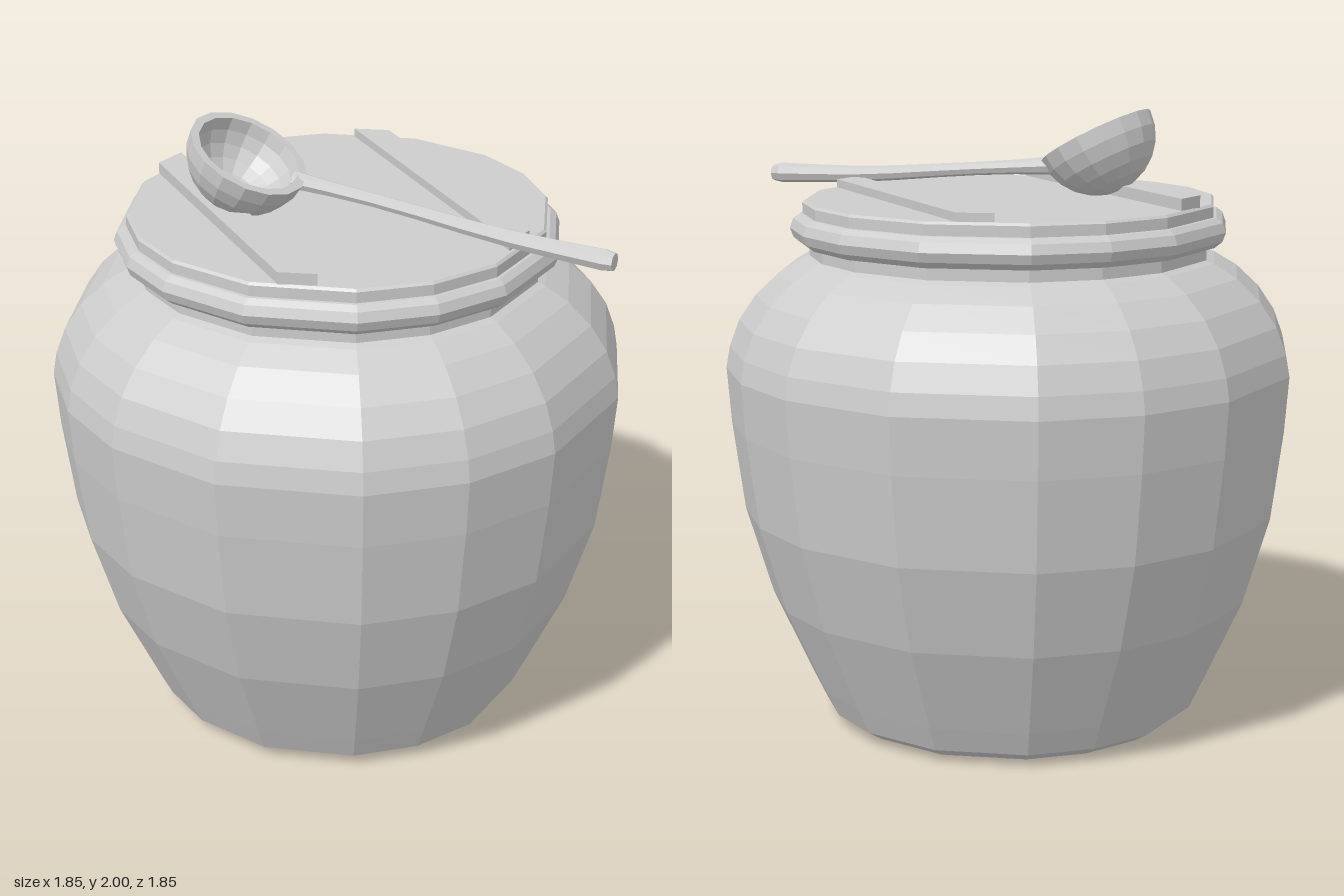
import * as THREE from 'three';

const clay = new THREE.MeshStandardMaterial({ color: 0xcccccc, flatShading: true });
clay.name = 'plain grey clay';

const vec = (pts) => pts.map(([x, y]) => new THREE.Vector2(x, y));

function part(geometry, name) {
  const mesh = new THREE.Mesh(geometry, clay);
  mesh.name = name;
  return mesh;
}

// Sixteen slightly uneven sides, symmetric in each quadrant
const ANGLES = [];
for (let q = 0; q < 4; q++) {
  const steps = q % 2 ? [0, 18, 42.5, 70] : [0, 20, 47.5, 72];
  steps.forEach((a) => ANGLES.push(THREE.MathUtils.degToRad(a + q * 90)));
}
ANGLES.push(Math.PI * 2);

function facetedTurning(profile) {
  const geo = new THREE.LatheGeometry(vec(profile), 16);
  const pos = geo.attributes.position;
  for (let i = 0; i < pos.count; i++) {
    const [r, y] = profile[i % profile.length];
    const a = ANGLES[Math.floor(i / profile.length)];
    pos.setXYZ(i, r * Math.sin(a), y, r * Math.cos(a));
  }
  geo.computeVertexNormals();
  return geo;
}

// Cleat across the lid, its ends cut along the lid edge
function cleat(x0, x1, y0, y1) {
  const zIn = 0.555, zOut = 0.495;
  const shape = new THREE.Shape(vec([[x0, -zIn], [x1, -zOut], [x1, zOut], [x0, zIn]]));
  const geo = new THREE.ExtrudeGeometry(shape, { depth: y1 - y0, bevelEnabled: false });
  geo.rotateX(-Math.PI / 2);
  geo.translate(0, y0, 0);
  return geo;
}

export function createModel() {
  const model = new THREE.Group();
  model.name = 'lidded jar with ladle';

  // Jar body with neck
  model.add(part(facetedTurning([
    [0, 0], [0.48, 0], [0.57, 0.012], [0.62, 0.045], [0.66, 0.13], [0.79, 0.42],
    [0.875, 0.71], [0.912, 1.0], [0.925, 1.18], [0.912, 1.25], [0.88, 1.335],
    [0.825, 1.415], [0.75, 1.485], [0.675, 1.53], [0.65, 1.54], [0.65, 1.62],
  ]), 'jarBody'));

  // Rounded lip
  model.add(part(facetedTurning([
    [0.64, 1.575], [0.675, 1.58], [0.7, 1.6], [0.711, 1.63],
    [0.7, 1.66], [0.68, 1.675], [0.64, 1.68],
  ]), 'jarLip'));

  // Flat lid
  model.add(part(facetedTurning([
    [0.6, 1.665], [0.67, 1.665], [0.67, 1.71], [0.662, 1.718], [0, 1.718],
  ]), 'lid'));

  // Lid cleats
  const rightCleat = part(cleat(0.31, 0.41, 1.71, 1.745), 'leftCleat');
  const mirrored = cleat(0.32, 0.42, 1.71, 1.755).rotateY(Math.PI);
  model.add(rightCleat, part(mirrored, 'rightCleat'));

  // Ladle bowl: hollow hemisphere tipped toward the handle
  const ladle = new THREE.Group();
  ladle.name = 'ladle';
  const bowlProfile = [];
  for (let i = 0; i <= 6; i++) {
    const a = (i / 6) * Math.PI / 2;
    bowlProfile.push([0.195 * Math.sin(a), -0.195 * Math.cos(a)]);
  }
  for (let i = 6; i >= 0; i--) {
    const a = (i / 6) * Math.PI / 2;
    bowlProfile.push([0.168 * Math.sin(a), -0.168 * Math.cos(a)]);
  }
  const bowl = part(new THREE.LatheGeometry(vec(bowlProfile), 16), 'ladleBowl');
  const dir = new THREE.Vector3(0.61, 0, 0.79).normalize();
  const up = new THREE.Vector3(0, 1, 0);
  const side = new THREE.Vector3().crossVectors(dir, up);
  const opening = up.clone().multiplyScalar(0.88).addScaledVector(dir, 0.47).normalize();
  bowl.quaternion.setFromUnitVectors(up, opening);
  bowl.position.set(-0.275, 1.91, -0.065);
  ladle.add(bowl);

  // Ladle handle: tapered rod bent along a curve
  const curve = new THREE.CatmullRomCurve3([
    new THREE.Vector3(-0.14, 1.815, -0.02), new THREE.Vector3(0.06, 1.79, 0.22),
    new THREE.Vector3(0.3, 1.755, 0.53), new THREE.Vector3(0.52, 1.743, 0.81),
  ]);
  const rod = [[0, 0], [0.03, 0], [0.024, 0.12], [0.022, 0.25], [0.023, 0.4], [0.025, 0.55],
    [0.028, 0.7], [0.031, 0.85], [0.034, 0.97], [0.028, 1], [0, 1]];
  const handle = new THREE.LatheGeometry(vec(rod), 8);
  const pos = handle.attributes.position;
  for (let i = 0; i < pos.count; i++) {
    const p = curve.getPointAt(pos.getY(i))
      .addScaledVector(side, pos.getX(i)).addScaledVector(up, pos.getZ(i));
    pos.setXYZ(i, p.x, p.y, p.z);
  }
  handle.computeVertexNormals();
  ladle.add(part(handle, 'ladleHandle'));
  model.add(ladle);

  return model;
}
